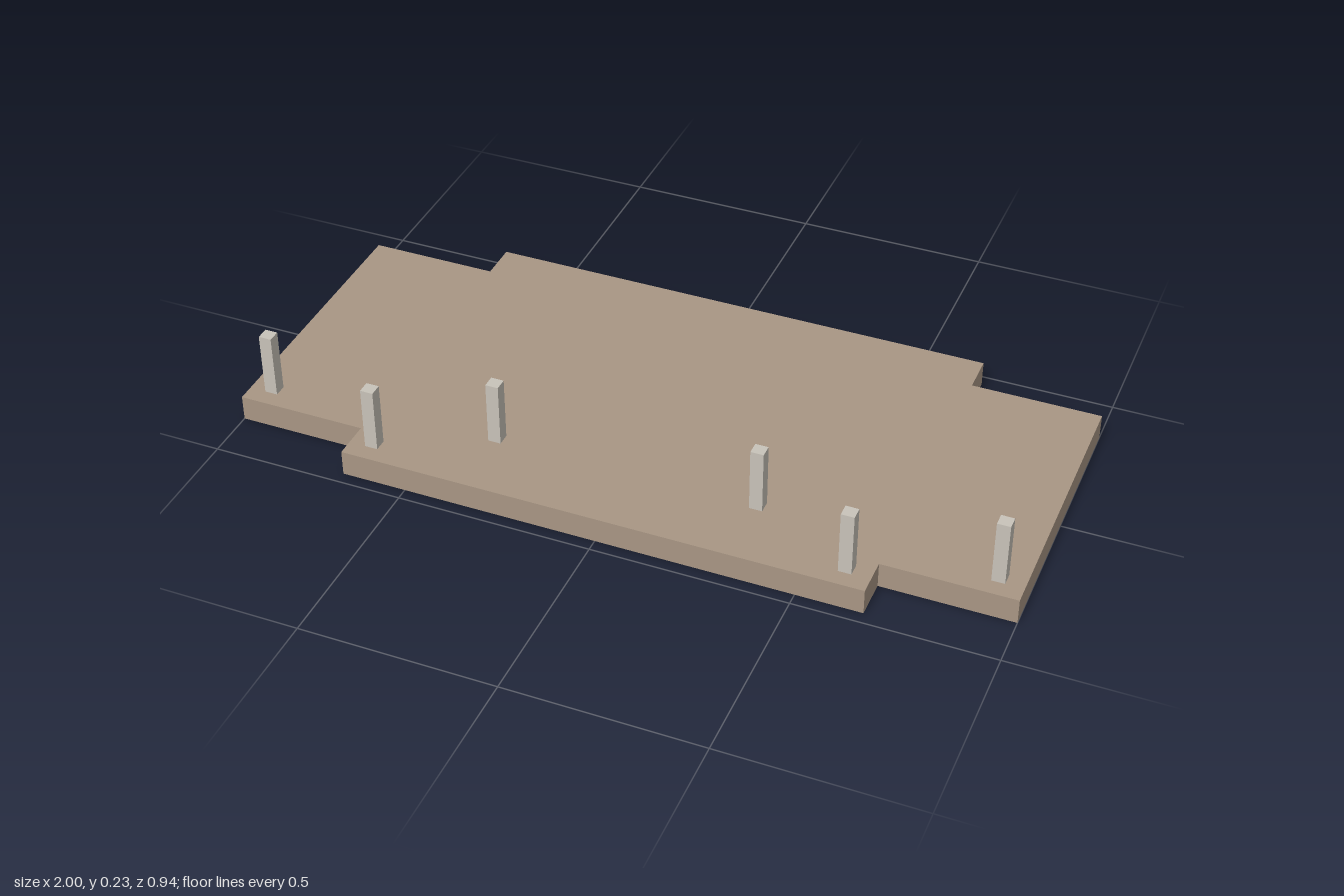
import * as THREE from 'three';

export function createModel() {
  const group = new THREE.Group();
  const brown = new THREE.MeshStandardMaterial({ color: 0xa89684 });
  const stone = new THREE.MeshStandardMaterial({ color: 0xc8c3b9 });
  const baseHeight = 0.067, postHeight = 0.168, postWidth = 0.033;

  // Base slab: a rectangle with its four corners notched
  const w = 1, d = 0.468, nw = 0.667, nd = 0.367;
  const outline = new THREE.Shape([
    [-nw, -d], [nw, -d], [nw, -nd], [w, -nd], [w, nd], [nw, nd],
    [nw, d], [-nw, d], [-nw, nd], [-w, nd], [-w, -nd], [-nw, -nd],
  ].map(([x, y]) => new THREE.Vector2(x, y)));
  const slab = new THREE.ExtrudeGeometry(outline, { depth: baseHeight, bevelEnabled: false });
  slab.rotateX(-Math.PI / 2);
  const base = new THREE.Mesh(slab, brown);
  base.name = 'base';
  group.add(base);

  // Three pairs of square posts along the front
  const postGeometry = new THREE.BoxGeometry(postWidth, postHeight, postWidth);
  const pairs = [
    ['outerPost', 0.939, 0.308],
    ['middlePost', 0.606, 0.409],
    ['innerPost', 0.339, 0.276],
  ];
  for (const [name, x, z] of pairs) {
    for (const side of [-1, 1]) {
      const post = new THREE.Mesh(postGeometry, stone);
      post.name = name + (side > 0 ? 'Left' : 'Right');
      post.position.set(side * x - 0.002, baseHeight + postHeight / 2, z);
      group.add(post);
    }
  }
  return group;
}
